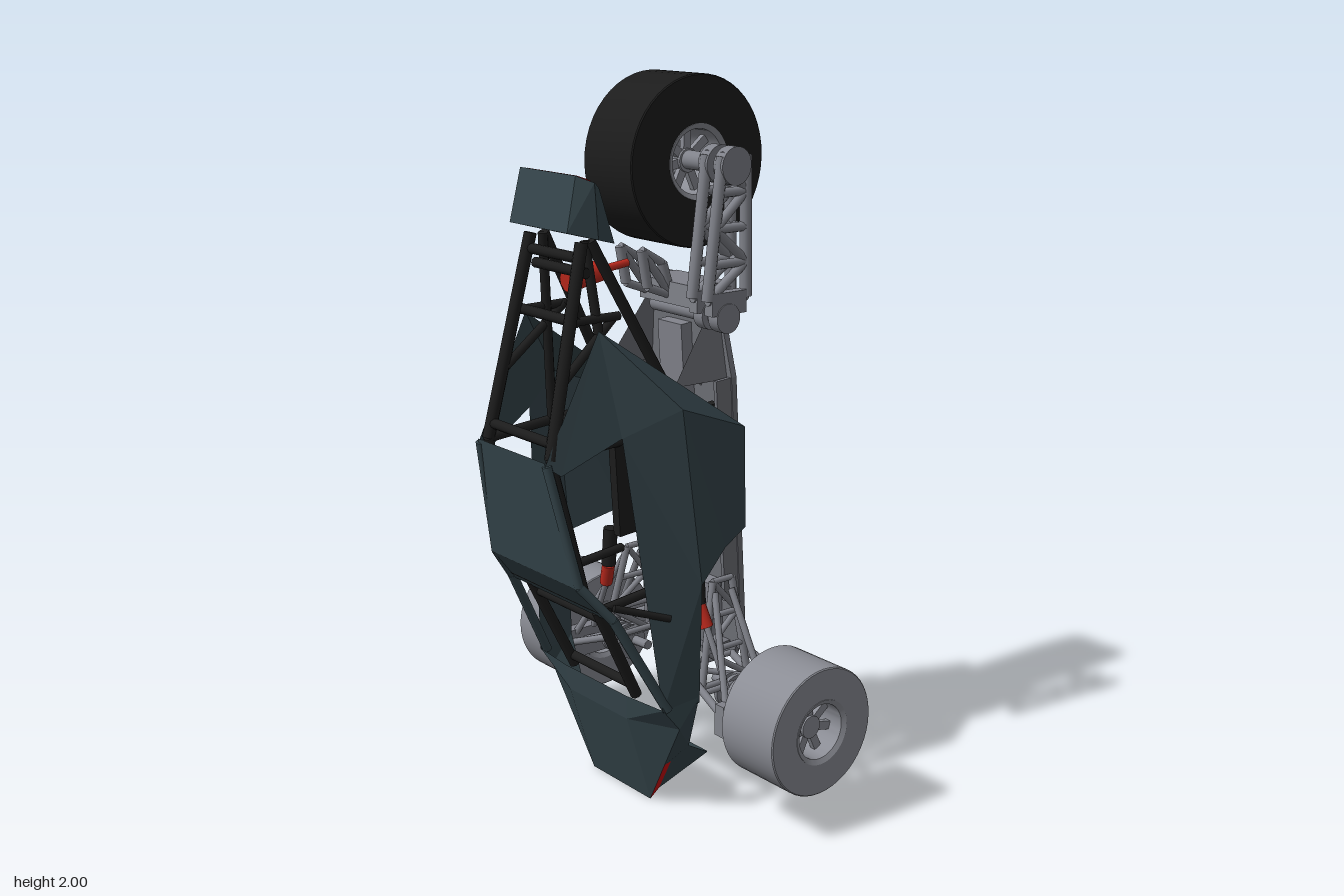
import * as THREE from 'three';
import { toCreasedNormals } from 'three/addons/utils/BufferGeometryUtils.js';

const mat = (name, color, extra = {}) => {
  const m = new THREE.MeshStandardMaterial({ color, ...extra });
  m.name = name;
  return m;
};
const two = { side: THREE.DoubleSide };
const shell = mat('slate shell', 0x35454b, two);
const black = mat('black', 0x1c1c1c, two);
const chassisGrey = mat('chassis grey', 0x6e7077, two);
const metal = mat('metal grey', 0x80828a, two);
const wheelGrey = mat('wheel grey', 0x8b8d95, two);
const red = mat('red', 0xd00a0e, two);
const shockRed = mat('shock red', 0xc02a1e);

const V = (p) => new THREE.Vector3(...p);
const mirror = (p, s) => [p[0] * s, p[1], p[2]];

function add(parent, geo, material, name, pos = [0, 0, 0]) {
  const m = new THREE.Mesh(geo, material);
  m.name = name;
  m.position.set(...pos);
  parent.add(m);
  return m;
}
const box = (parent, size, pos, material, name) => add(parent, new THREE.BoxGeometry(...size), material, name, pos);

// Round bar between two points
function bar(parent, a, b, r, material, name) {
  const d = V(b).sub(V(a));
  const m = add(parent, new THREE.CylinderGeometry(r, r, d.length(), 10), material, name);
  m.position.copy(V(a)).addScaledVector(d, 0.5);
  m.quaternion.setFromUnitVectors(new THREE.Vector3(0, 1, 0), d.normalize());
  return m;
}
// Disc or drum lying along x
function drum(parent, r, width, pos, material, name) {
  const m = add(parent, new THREE.CylinderGeometry(r, r, width, 28), material, name, pos);
  m.rotation.z = Math.PI / 2;
  return m;
}
// Flat-sided panel from corner points; each face is a list of corner numbers
function panel(parent, pts, faces, material, name) {
  const out = [];
  for (const f of faces)
    for (let i = 1; i < f.length - 1; i++) for (const k of [f[0], f[i], f[i + 1]]) out.push(...pts[k]);
  const g = new THREE.BufferGeometry();
  g.setAttribute('position', new THREE.Float32BufferAttribute(out, 3));
  g.computeVertexNormals();
  return add(parent, g, material, name);
}
// Two rails joined by rungs and diagonals
function trellis(parent, a0, a1, b0, b1, n, r, material, name) {
  const at = (p, q, t) => V(p).lerp(V(q), t).toArray();
  bar(parent, a0, a1, r, material, name + 'Rail');
  bar(parent, b0, b1, r, material, name + 'Rail');
  for (let i = 0; i <= n; i++) {
    bar(parent, at(a0, a1, i / n), at(b0, b1, i / n), r * 0.8, material, name + 'Rung');
    if (i < n) {
      const flip = i % 2;
      bar(parent, at(a0, a1, (i + flip) / n), at(b0, b1, (i + 1 - flip) / n), r * 0.8, material, name + 'Brace');
    }
  }
}

// Hollow wheel with a rim and spokes, axle along x
function wheel(name, R, width, bore, tyreMat, pos) {
  const g = new THREE.Group();
  g.name = name;
  const h = width / 2, c = 0.003;
  const lathe = (pts) => toCreasedNormals(
    new THREE.LatheGeometry(pts.map((p) => new THREE.Vector2(...p)), 48), 0.5);
  add(g, lathe([[bore, -h], [R - c, -h], [R, -h + c], [R, h - c], [R - c, h], [bore, h], [bore, -h]]), tyreMat, 'tyre');
  add(g, lathe([[bore - 0.014, -h + 0.005], [bore, -h - 0.002], [bore, h + 0.002], [bore - 0.014, h - 0.005],
    [bore - 0.014, -h + 0.005]]), wheelGrey, 'rim');
  for (const s of [-1, 1]) {
    add(g, new THREE.CylinderGeometry(0.032, 0.032, 0.03, 20), wheelGrey, 'hub', [0, s * (h - 0.055), 0]);
    for (let i = 0; i < 7; i++) {
      const spoke = new THREE.Group();
      spoke.name = 'spoke';
      box(spoke, [bore - 0.02, 0.016, 0.024], [bore / 2, s * (h - 0.055), 0], wheelGrey, 'spokeBlade');
      spoke.rotation.y = (i * Math.PI * 2) / 7;
      g.add(spoke);
    }
  }
  g.rotation.z = Math.PI / 2;
  g.position.set(...pos);
  return g;
}

function buildChassis() {
  const g = new THREE.Group();
  g.name = 'chassis';
  // Floor plate with slots, slightly tilted
  const half = [[0.135, 1.46], [0.145, 1.36], [0.178, 1.2], [0.178, 0.46], [0.14, 0.36]];
  const s = new THREE.Shape([...half, ...half.slice().reverse().map(([x, y]) => [-x, y])].map((p) => new THREE.Vector2(...p)));
  for (let i = 0; i < 7; i++)
    for (const x of [-0.085, 0.085]) {
      const hole = new THREE.Path();
      hole.absellipse(x * (i % 2 ? 0.55 : 1), 0.47 + i * 0.14, 0.008, 0.016, 0, Math.PI * 2);
      s.holes.push(hole);
    }
  add(g, new THREE.ExtrudeGeometry(s, { depth: 0.018, bevelEnabled: false, curveSegments: 6 }), chassisGrey, 'floorPlate');
  for (const k of [-1, 1]) {
    box(g, [0.012, 0.64, 0.07], [k * 0.169, 0.88, 0.035], chassisGrey, 'sideWall');
    box(g, [0.03, 0.42, 0.16], [k * 0.135, 0.92, 0.12], black, 'tubLiner');
  }
  box(g, [0.26, 0.02, 0.1], [0, 0.4, 0.05], chassisGrey, 'frontBulkhead');
  box(g, [0.2, 0.18, 0.05], [0, 0.5, 0.04], metal, 'batteryTray');
  box(g, [0.05, 0.08, 0.01], [0.06, 0.45, 0.072], chassisGrey, 'trayCover');
  box(g, [0.1, 0.22, 0.04], [-0.03, 1.22, 0.035], metal, 'controlBox');
  g.rotation.x = 0.07;
  g.position.z = -0.32;
  return g;
}

function buildSide(s) {
  const g = new THREE.Group();
  g.name = s > 0 ? 'leftSide' : 'rightSide';
  const M = (p) => mirror(p, s);
  const b = (a, c, r, m, n) => bar(g, M(a), M(c), r, m, n);
  // Faceted side pod: tip, hood corner, window corner, ridge, rear, lower strip
  panel(g, [[0.16, 1.38, 0.22], [0.15, 1.05, 0.385], [0.205, 1.1, 0.18], [0.28, 1.17, 0.04], [0.2, 1.06, -0.25],
    [0.2, 0.77, -0.26], [0.23, 0.74, -0.16], [0.295, 0.68, -0.02], [0.29, 0.34, -0.02], [0.28, 0.34, 0.1],
    [0.165, 1.02, 0.345]].map(M),
  [[0, 1, 10, 2], [0, 2, 3], [0, 3, 4], [3, 5, 4], [3, 6, 5], [3, 7, 6], [2, 7, 3], [2, 9, 7], [9, 8, 7]], shell, 'sidePod');
  // Window rails
  b([0.15, 1.05, 0.38], [0.19, 0.72, 0.31], 0.013, shell, 'windowRail');
  b([0.19, 0.72, 0.31], [0.23, 0.62, 0.23], 0.013, shell, 'windowRail');
  b([0.23, 0.62, 0.23], [0.275, 0.34, 0.08], 0.014, shell, 'lowerRail');
  b([0.22, 0.65, 0.22], [0.27, 0.6, 0.07], 0.01, black, 'railBrace');
  // Black inner frame
  b([0.15, 0.62, 0.22], [0.14, 0.34, 0.08], 0.016, black, 'innerRail');
  b([0.15, 0.62, 0.21], [0.15, 0.65, -0.1], 0.013, black, 'frameCross');
  b([0.14, 1.06, 0.36], [0.16, 0.68, 0.27], 0.014, black, 'hoodRail');
  b([0.14, 1.06, 0.36], [0.15, 1.1, -0.2], 0.014, black, 'upperCross');
  // Roll cage legs
  b([0.11, 1.6, 0.235], [0.14, 1.06, 0.36], 0.017, black, 'cageFrontLeg');
  b([0.1, 1.6, 0.2], [0.14, 1.16, -0.04], 0.015, black, 'cageRearLeg');
  b([0.09, 1.6, 0.21], [0.14, 1.06, 0.15], 0.013, black, 'cageMiddleLeg');
  b([0.11, 1.4, 0.27], [0.115, 1.4, 0.12], 0.012, black, 'cageBrace');
  b([0.125, 1.25, 0.31], [0.11, 1.4, 0.13], 0.012, black, 'cageBrace');
  // Raised rear wall of the tub
  panel(g, [[0.15, 1.19, -0.04], [0.13, 1.43, -0.21], [0.16, 1.19, -0.23]].map(M), [[0, 1, 2]], chassisGrey, 'rearWall');
  // Suspension
  const up = [0.35, 0.3, -0.06], low = [0.35, 0.3, -0.25];
  trellis(g, M([0.19, 0.63, -0.15]), M([0.22, 0.34, -0.09]), M([0.19, 0.63, -0.22]), M([0.22, 0.34, -0.26]), 3, 0.011, metal, 'tower');
  trellis(g, M([0.15, 0.38, -0.08]), M(up), M([0.15, 0.38, -0.26]), M(low), 2, 0.011, metal, 'controlArm');
  b([0.2, 0.6, -0.15], [0.36, 0.29, -0.06], 0.01, metal, 'pushRod');
  b([0.2, 0.6, -0.21], [0.36, 0.29, -0.22], 0.01, metal, 'pushRod');
  b([0.36, 0.33, -0.3], [0.18, 0.42, -0.26], 0.014, metal, 'tieRod');
  b([0.15, 0.32, -0.2], [0.42, 0.3, -0.21], 0.014, metal, 'axle');
  box(g, [0.035, 0.09, 0.2], M([0.348, 0.3, -0.14]), metal, 'upright');
  for (let i = 0; i < 4; i++) drum(g, 0.05, 0.012, M([0.22 + i * 0.025, 0.31, -0.19]), metal, 'hubMotorFin');
  b([0.19, 0.7, -0.09], [0.2, 0.585, -0.09], 0.021, black, 'damperTop');
  b([0.2, 0.585, -0.09], [0.225, 0.52, -0.1], 0.019, shockRed, 'damper');
  b([0.225, 0.52, -0.1], [0.3, 0.36, -0.11], 0.009, metal, 'damperRod');
  return g;
}

function buildNose() {
  const g = new THREE.Group();
  g.name = 'nose';
  // Left half points followed by mirrored points
  const half = [[0.13, 0, 0.02], [0.13, 0.27, 0.105], [0.29, 0.28, 0.05], [0.28, 0.345, 0.1], [0.29, 0.36, -0.02],
    [0.13, 0.024, -0.012], [0.203, 0.14, 0.006], [0.19, 0.12, -0.14], [0.236, 0.19, -0.03], [0.14, 0.345, 0.115],
    [0.21, 0.14, 0.035], [0.11, 0.045, -0.035], [0.15, 0.11, -0.125]];
  const n = half.length;
  const pts = [...half, ...half.map((p) => mirror(p, -1))];
  const faces = [[0, 1, 1 + n, n], [1, 9, 9 + n, 1 + n], [5, 11, 11 + n, 5 + n], [7, 12, 12 + n, 7 + n]];
  for (const o of [0, n]) faces.push([o, 2 + o, 1 + o], [1 + o, 2 + o, 3 + o, 9 + o], [2 + o, 4 + o, 3 + o],
    [2 + o, 8 + o, 4 + o], [10 + o, 2 + o, 8 + o, 6 + o], [6 + o, 8 + o, 7 + o, 5 + o], [5 + o, 7 + o, 12 + o, 11 + o]);
  panel(g, pts, faces, shell, 'nosePanels');
  panel(g, pts, [[0, 5, 5 + n, n], [0, 10, 6, 5], [n, 10 + n, 6 + n, 5 + n]], red, 'lightStrip');
  panel(g, pts, [[11, 12, 12 + n, 11 + n]], black, 'noseVent');
  // Inner shelf closing the nose above the strip
  panel(g, [[0.13, 0.155, 0.062], [0.205, 0.155, 0.03], [0.19, 0.123, -0.138], [-0.19, 0.123, -0.138],
    [-0.205, 0.155, 0.03], [-0.13, 0.155, 0.062]], [[0, 1, 2, 3, 4, 5]], shell, 'noseShelf');
  return g;
}

function buildHeadFairing() {
  const g = new THREE.Group();
  g.name = 'headFairing';
  // Hexagon cross-sections, sloping back
  const hex = (w, zf, zb, yf, yb) => [[w * 0.8, yf, zf], [w, (yf + yb) / 2, (zf + zb) / 2], [w * 0.8, yb, zb],
    [-w * 0.8, yb, zb], [-w, (yf + yb) / 2, (zf + zb) / 2], [-w * 0.8, yf, zf]];
  const pts = [...hex(0.155, 0.29, 0.14, 1.63, 1.59), ...hex(0.148, 0.258, 0.185, 1.77, 1.735)];
  const faces = [[0, 1, 2, 3, 4, 5], [6, 7, 8, 9, 10, 11]];
  for (let i = 0; i < 6; i++) faces.push([i, (i + 1) % 6, 6 + ((i + 1) % 6), 6 + i]);
  panel(g, pts, faces, shell, 'fairingShell');
  panel(g, hex(0.132, 0.245, 0.198, 1.768, 1.746), [[0, 1, 2, 3, 4, 5]], red, 'tailLight');
  return g;
}

function buildSwingArm() {
  const g = new THREE.Group();
  g.name = 'swingArm';
  for (const x of [0.172, 0.232]) {
    trellis(g, [x, 1.8, -0.125], [x, 1.43, -0.08], [x, 1.8, -0.205], [x, 1.43, -0.215], 4, 0.016, metal, 'arm');
    drum(g, 0.05, 0.036, [x, 1.775, -0.16], metal, 'axleBoss');
    drum(g, 0.04, 0.036, [x, 1.38, -0.14], metal, 'pivotBoss');
    box(g, [0.03, 0.06, 0.12], [x, 1.42, -0.145], metal, 'pivotPlate');
  }
  for (const y of [1.52, 1.61, 1.71]) bar(g, [0.172, y, -0.21], [0.232, y, -0.21], 0.013, metal, 'armSpacer');
  drum(g, 0.025, 0.26, [0.12, 1.775, -0.16], metal, 'axle');
  drum(g, 0.022, 0.3, [0.1, 1.38, -0.14], metal, 'pivot');
  // Rocker to the shock
  for (const x of [-0.03, 0.06]) {
    trellis(g, [x, 1.55, 0], [x, 1.45, -0.02], [x, 1.51, -0.07], [x, 1.42, -0.1], 1, 0.014, metal, 'rocker');
  }
  box(g, [0.22, 0.06, 0.13], [0.06, 1.43, -0.15], metal, 'rockerBase');
  return g;
}

export function createModel() {
  const model = new THREE.Group();
  model.name = 'threeWheeler';
  model.add(buildChassis(), buildNose(), buildHeadFairing(), buildSwingArm(), buildSide(1), buildSide(-1));
  // Hood
  panel(model, [[-0.15, 1.06, 0.387], [0.15, 1.06, 0.387], [0.19, 0.72, 0.325], [-0.19, 0.72, 0.325],
    [0.23, 0.61, 0.225], [-0.23, 0.61, 0.225]], [[0, 3, 2, 1], [3, 5, 4, 2]], shell, 'hood');
  // Cross bars of the cage and frame
  for (const [x, y, z] of [[0.11, 1.56, 0.24], [0.11, 1.52, 0.22], [0.12, 1.4, 0.26], [0.135, 1.1, 0.35], [0.14, 1.08, 0.14],
    [0.15, 0.59, 0.2], [0.14, 0.37, 0.09], [0.15, 1.17, -0.04], [0.215, 0.64, 0.235]])
    bar(model, [-x, y, z], [x, y, z], 0.014, black, 'crossBar');
  // Rear shock
  bar(model, [0, 1.48, 0.2], [0, 1.5, 0.09], 0.03, shockRed, 'shockBody');
  bar(model, [0, 1.5, 0.09], [0, 1.51, 0], 0.011, shockRed, 'shockRod');
  // Wheels
  model.add(wheel('rearWheel', 0.227, 0.2, 0.1, black, [0, 1.773, -0.16]));
  for (const s of [-1, 1])
    model.add(wheel(s > 0 ? 'frontWheelLeft' : 'frontWheelRight', 0.181, 0.2, 0.092, wheelGrey, [s * 0.47, 0.299, -0.21]));
  return model;
}
